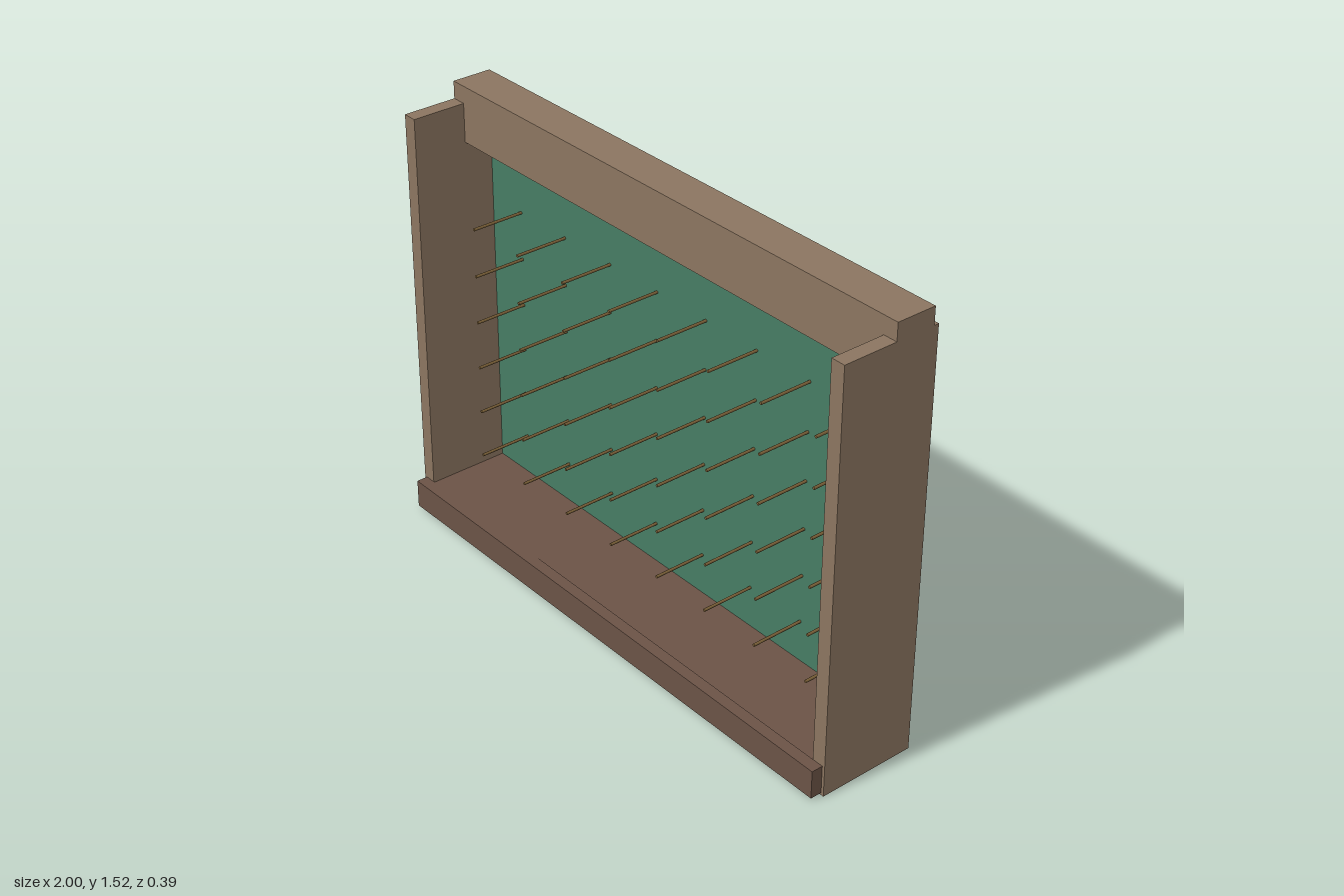
import * as THREE from 'three';

export function createModel() {
  const group = new THREE.Group();
  const mat = (color) => new THREE.MeshStandardMaterial({ color });
  const wood = mat(0x8b7560);
  const darkWood = mat(0x6b5346);
  const green = mat(0x467c64);
  const brass = mat(0x7a6038);

  // Box given by its minimum and maximum on each axis
  function box(name, material, [x0, x1], [y0, y1], [z0, z1]) {
    const mesh = new THREE.Mesh(new THREE.BoxGeometry(x1 - x0, y1 - y0, z1 - z0), material);
    mesh.position.set((x0 + x1) / 2, (y0 + y1) / 2, (z0 + z1) / 2);
    mesh.name = name;
    group.add(mesh);
  }

  // Frame
  box('leftSide', wood, [0.95, 1], [0, 1.46], [-0.192, 0.155]);
  box('rightSide', wood, [-1, -0.95], [0, 1.46], [-0.192, 0.155]);
  box('topBeam', wood, [-1, 1], [1.325, 1.52], [-0.175, -0.035]);
  box('bottomShelf', darkWood, [-0.95, 0.95], [0.005, 0.105], [-0.18, 0.157]);
  box('frontLip', darkWood, [-0.99, 0.99], [0.008, 0.108], [0.155, 0.195]);

  // Back board
  box('backBoard', green, [-0.95, 0.95], [0.008, 1.45], [-0.182, -0.137]);

  // Grid of pegs standing out of the board
  const pegs = new THREE.Group();
  pegs.name = 'pegs';
  const pegGeometry = new THREE.CylinderGeometry(0.005, 0.005, 0.19, 8).rotateX(Math.PI / 2);
  for (let row = 0; row < 6; row++) {
    for (let col = 0; col < 8; col++) {
      const peg = new THREE.Mesh(pegGeometry, brass);
      peg.name = 'peg';
      peg.position.set((col - 3.5) * 0.228, 0.25 + row * 0.17, -0.043);
      pegs.add(peg);
    }
  }
  group.add(pegs);

  return group;
}
